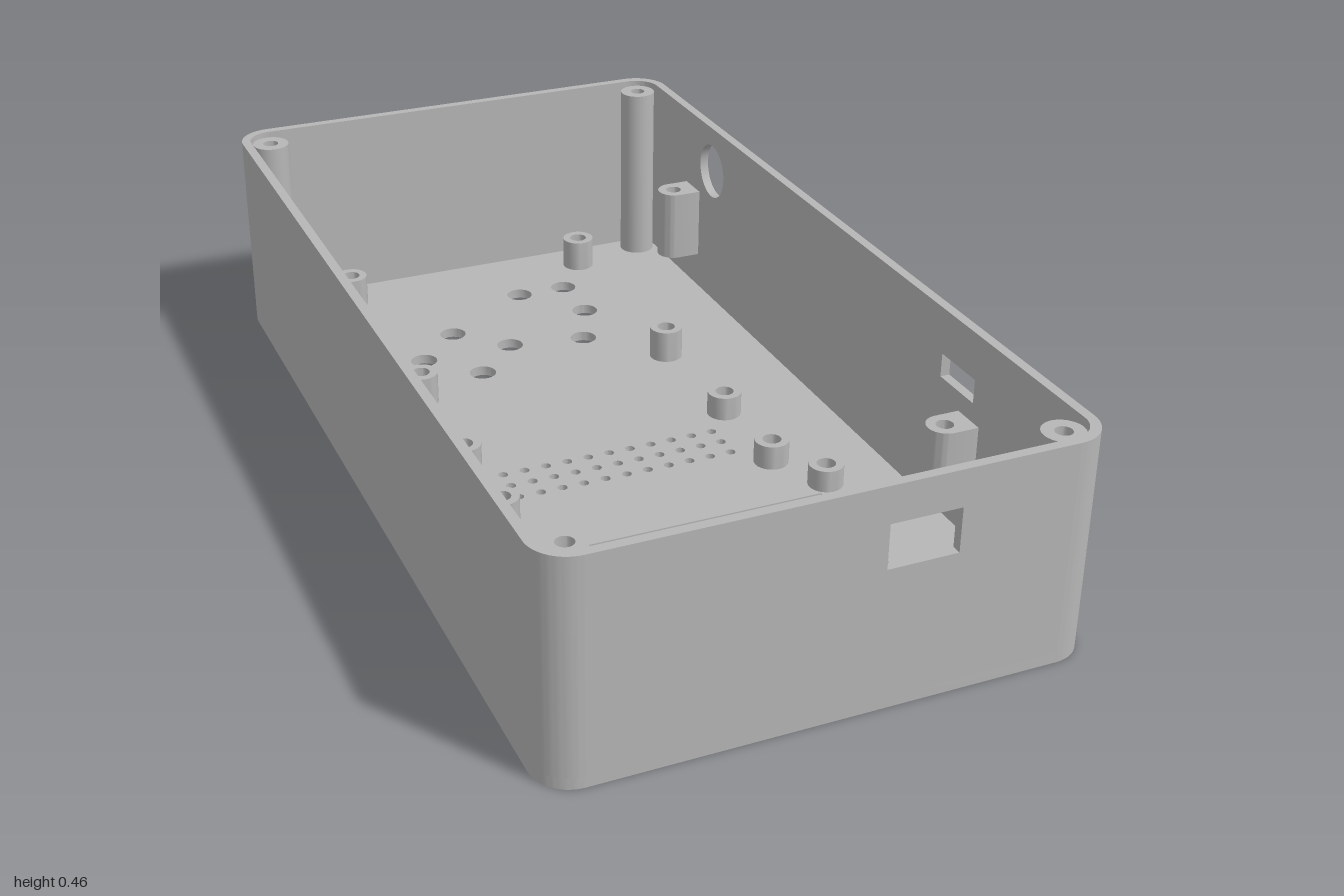
import * as THREE from 'three';
import { toCreasedNormals } from 'three/addons/utils/BufferGeometryUtils.js';

const W = 0.5325, L = 1, H = 0.455; // half width, half length, height
const R = 0.075, T = 0.02, FLOOR = 0.022; // corner radius, wall and floor thickness

const plastic = new THREE.MeshStandardMaterial({ color: 0xb6b6b6 });
plastic.name = 'greyPlastic';

function circle(x, y, r, Type = THREE.Path) {
  const p = new Type();
  p.absarc(x, y, r, 0, Math.PI * 2, false);
  return p;
}

function rect(x0, y0, x1, y1, Type = THREE.Path) {
  return new Type([[x0, y0], [x1, y0], [x1, y1], [x0, y1]].map(([x, y]) => new THREE.Vector2(x, y)));
}

function extrude(shape, depth, segments = 12) {
  return new THREE.ExtrudeGeometry(shape, { depth, bevelEnabled: false, curveSegments: segments });
}

// Plan outline raised along y; the shape's second axis is -z
function raise(shape, y0, y1, segments) {
  return extrude(shape, y1 - y0, segments).rotateX(-Math.PI / 2).translate(0, y0, 0);
}

export function createModel() {
  const group = new THREE.Group();
  const add = (name, geometry, x = 0, z = 0) => {
    const mesh = new THREE.Mesh(toCreasedNormals(geometry, 0.6), plastic);
    mesh.name = name;
    mesh.position.set(x, 0, z);
    group.add(mesh);
    return mesh;
  };

  // Floor with display window, button holes and speaker grille
  const floor = new THREE.Shape();
  floor.absarc(W - R, L - R, R, 0, Math.PI / 2, false);
  floor.absarc(R - W, L - R, R, Math.PI / 2, Math.PI, false);
  floor.absarc(R - W, R - L, R, Math.PI, Math.PI * 1.5, false);
  floor.absarc(W - R, R - L, R, Math.PI * 1.5, Math.PI * 2, false);
  floor.closePath();
  floor.holes.push(rect(-0.342, -0.822, 0.325, -0.344));
  const buttons = [[0.085, -0.777], [0.2, -0.777], [0.2, -0.635], [-0.135, -0.635],
    [-0.24, -0.53], [-0.03, -0.53], [0.142, -0.5], [-0.135, -0.423]];
  for (const [x, z] of buttons) floor.holes.push(circle(x, -z, 0.03));
  for (let i = 0; i < 11; i++) {
    for (let j = 0; j < 3; j++) {
      floor.holes.push(circle(-0.249 + i * 0.0477, -0.025 - j * 0.0477, 0.0105));
    }
  }
  add('floor', raise(floor, 0, FLOOR, 10));

  // Flat wall panels, with connector openings in the front and left walls
  const panel = (half, ...holes) => {
    const shape = rect(-half, FLOOR, half, H, THREE.Shape);
    shape.holes.push(...holes);
    return extrude(shape, T, 20);
  };
  add('frontWall', panel(W - R, rect(0.09, 0.29, 0.23, 0.38)).translate(0, 0, L - T));
  add('backWall', panel(W - R).translate(0, 0, -L));
  add('leftWall', panel(L - R, rect(-0.58, 0.31, -0.46, 0.36), circle(0.597, 0.348, 0.064))
    .rotateY(Math.PI / 2).translate(W - T, 0, 0));
  add('rightWall', panel(L - R).rotateY(Math.PI / 2).translate(-W, 0, 0));

  // Rounded wall corners and full-height screw posts
  for (const sx of [-1, 1]) {
    for (const sz of [-1, 1]) {
      const a = sx > 0 ? (sz < 0 ? 0 : 1.5 * Math.PI) : (sz < 0 ? 0.5 * Math.PI : Math.PI);
      const arc = new THREE.Shape();
      arc.absarc(0, 0, R, a, a + Math.PI / 2, false);
      arc.absarc(0, 0, R - T, a + Math.PI / 2, a, true);
      arc.closePath();
      add('cornerWall', raise(arc, FLOOR, H), sx * (W - R), sz * (L - R));

      const post = circle(0, 0, 0.041, THREE.Shape);
      post.holes.push(circle(0, 0, 0.017));
      add('cornerPost', raise(post, FLOOR, 0.443), sx * 0.465, sz * 0.935);
    }
  }

  // Short D-shaped bosses on the long walls
  for (const s of [-1, 1]) {
    for (const z of [-0.7, 0.57]) {
      const boss = new THREE.Shape();
      boss.moveTo(0.06, -0.037);
      boss.lineTo(0, -0.037);
      boss.absarc(0, 0, 0.037, -Math.PI / 2, Math.PI / 2, true);
      boss.lineTo(0.06, 0.037);
      boss.closePath();
      boss.holes.push(circle(0, 0, 0.018));
      add('sideBoss', raise(boss, 0.105, 0.27), s * 0.46, z).rotation.y = s > 0 ? 0 : Math.PI;
    }
  }

  // Hollow standoffs: [left x, right x, back z, front z, top y]
  const sets = [[-0.305, 0.285, -0.89, -0.345, 0.095],
    [-0.31, 0.29, -0.043, 0.187, 0.075],
    [-0.375, 0.352, 0.312, 0.857, 0.07]];
  for (const [x0, x1, z0, z1, top] of sets) {
    for (const x of [x0, x1]) {
      for (const z of [z0, z1]) {
        const ring = circle(0, 0, 0.037, THREE.Shape);
        ring.holes.push(circle(0, 0, 0.02));
        add('standoff', raise(ring, FLOOR, top), x, z);
      }
    }
  }
  return group;
}
